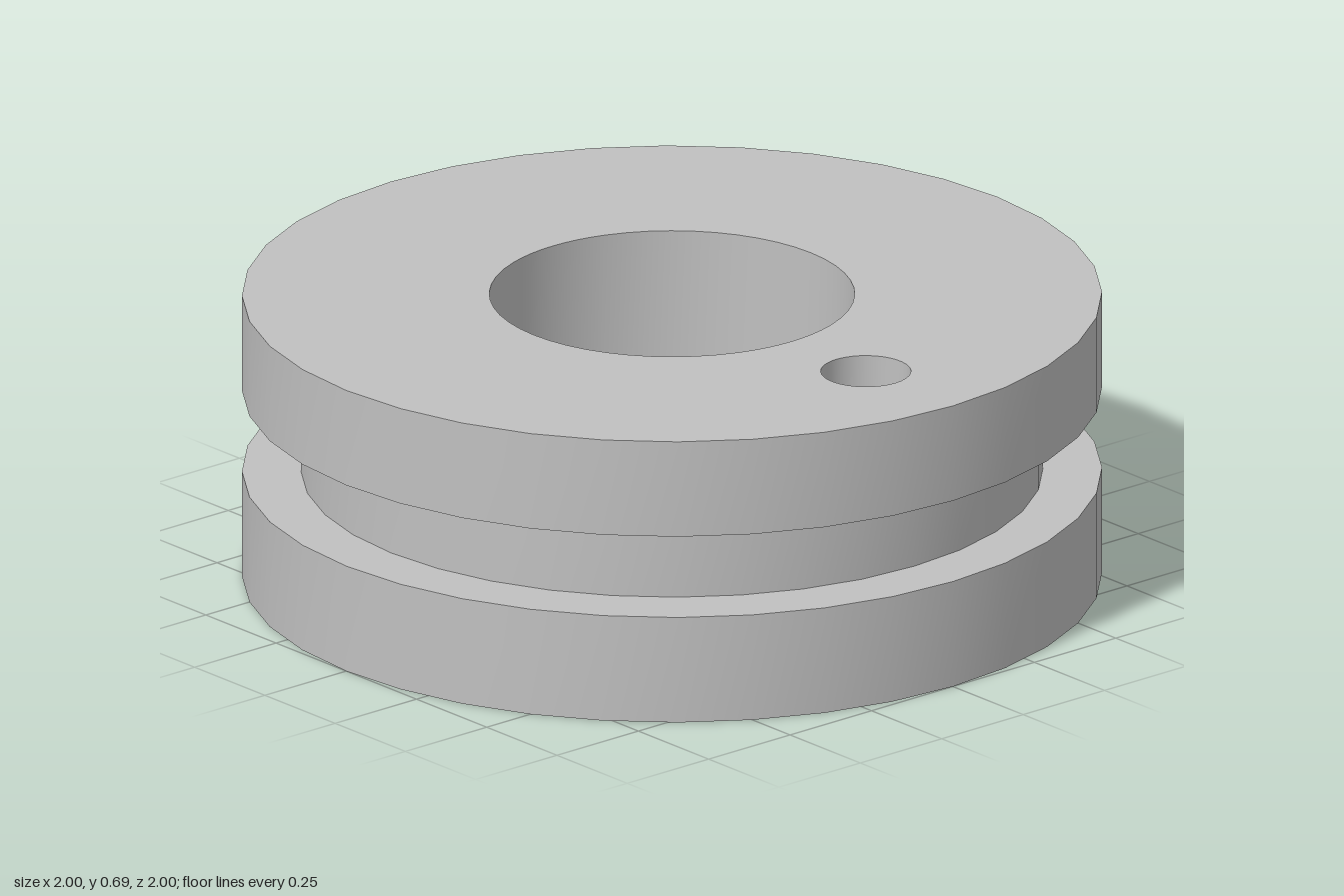
import * as THREE from 'three';
import { toCreasedNormals } from 'three/addons/utils/BufferGeometryUtils.js';

// Plan coordinates are (x, q) with q = -z, seen from above.
const Y_LOW = 0.26, Y_HIGH = 0.46, Y_TOP = 0.695;
const R_RIM = 1, R_GROOVE = 0.863, R_BORE = 0.425;
const R_PIN = 0.105, PIN_Q = -0.69;
const KEY_W = 0.14, KEY_END = 0.61;

const V = (x, q) => new THREE.Vector2(x, q);

function arc(r, a0, a1, n, q = 0) {
  return Array.from({ length: n + 1 }, (_, i) => {
    const a = a0 + (a1 - a0) * i / n;
    return V(r * Math.cos(a), q + r * Math.sin(a));
  });
}

// Closed outlines never repeat a joint point
function join(...lists) {
  const pts = lists.flat();
  return pts.filter((p, i) => p.distanceTo(pts[(i + 1) % pts.length]) > 1e-6);
}

// Vertical wall over a counter-clockwise outline, facing outward or inward
function wall(outline, y0, y1, inward = false) {
  const pts = inward ? [...outline].reverse() : outline;
  const pos = [];
  pts.forEach((a, i) => {
    const b = pts[(i + 1) % pts.length];
    pos.push(a.x, y0, -a.y, b.x, y0, -b.y, b.x, y1, -b.y);
    pos.push(a.x, y0, -a.y, b.x, y1, -b.y, a.x, y1, -a.y);
  });
  const g = new THREE.BufferGeometry();
  g.setAttribute('position', new THREE.Float32BufferAttribute(pos, 3));
  return toCreasedNormals(g, Math.PI / 6);
}

// Flat horizontal face with holes, facing up or down
function face(outline, holes, y, up) {
  const map = pts => pts.map(p => V(p.x, up ? p.y : -p.y));
  const shape = new THREE.Shape(map(outline));
  holes.forEach(h => shape.holes.push(new THREE.Path(map(h))));
  const g = new THREE.ShapeGeometry(shape);
  g.rotateX(up ? -Math.PI / 2 : Math.PI / 2);
  return g.translate(0, y, 0);
}

export function createModel() {
  const model = new THREE.Group();
  model.name = 'groovedCollar';
  const steel = new THREE.MeshStandardMaterial({ color: 0xc0c0c0 });
  steel.name = 'grey steel';

  const part = (name, geometries) => {
    const group = new THREE.Group();
    group.name = name;
    geometries.forEach(g => {
      const m = new THREE.Mesh(g, steel);
      m.name = name + 'Surface';
      group.add(m);
    });
    model.add(group);
  };

  // Outlines
  const PI = Math.PI;
  const phi = Math.acos(KEY_W / R_BORE);
  const beta = Math.asin((-KEY_END - PIN_Q) / R_PIN);
  const rim = join(arc(R_RIM, 0, 2 * PI, 36));
  const groove = join(arc(R_GROOVE, 0, 2 * PI, 36));
  const boreRight = arc(R_BORE, -phi, phi, 20);
  const boreBack = arc(R_BORE, phi, PI - phi, 8);
  const boreLeft = arc(R_BORE, PI - phi, PI + phi, 20);
  const boreFront = arc(R_BORE, PI + phi, 2 * PI - phi, 8);
  const pinOuter = arc(R_PIN, PI - beta, 2 * PI + beta, 26, PIN_Q);
  const pinInner = arc(R_PIN, beta, PI - beta, 10, PIN_Q);
  const bore = join(boreRight, boreBack, boreLeft, boreFront);
  const pin = join(pinOuter, pinInner);
  const backEnd = [V(KEY_W, KEY_END), V(-KEY_W, KEY_END)];
  const frontLeft = V(KEY_W, -KEY_END), frontRight = V(-KEY_W, -KEY_END);
  const keyedBore = join(boreRight, backEnd, boreLeft, [frontRight], pinOuter, [frontLeft]);

  // Outer body
  part('upperFlange', [
    wall(rim, Y_HIGH, Y_TOP),
    face(rim, [bore, pin], Y_TOP, true),
    face(rim, [groove], Y_HIGH, false),
  ]);
  part('groove', [wall(groove, Y_LOW, Y_HIGH)]);
  part('lowerFlange', [
    wall(rim, 0, Y_LOW),
    face(rim, [groove], Y_LOW, true),
    face(rim, [keyedBore], 0, false),
  ]);

  // Openings
  part('bore', [wall(bore, Y_LOW, Y_TOP, true)]);
  part('pinHole', [wall(pin, Y_LOW, Y_TOP, true)]);
  part('keyways', [
    wall(keyedBore, 0, Y_LOW, true),
    face(join(boreBack, [...backEnd].reverse()), [], Y_LOW, false),
    face(join(boreFront, [frontLeft], pinInner, [frontRight]), [], Y_LOW, false),
  ]);
  return model;
}
